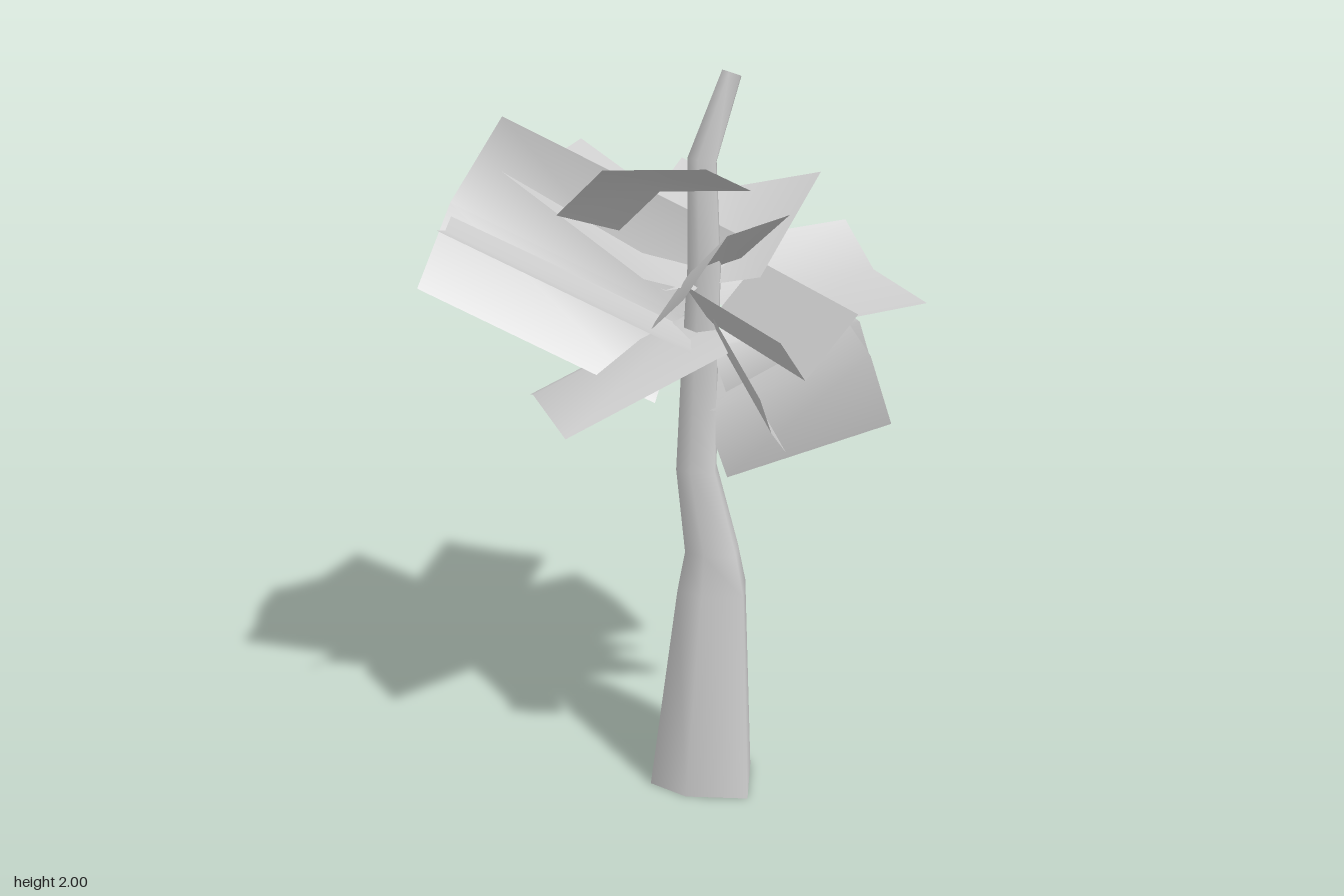
import * as THREE from 'three';
import { mergeVertices, toCreasedNormals } from 'three/addons/utils/BufferGeometryUtils.js';

const material = new THREE.MeshStandardMaterial({ color: 0xcccccc, side: THREE.DoubleSide });

// Irregular six-cornered trunk section (x, z) for a radius of 1
const SECTION = [[-1, 0], [-0.55, 0.64], [0.48, 1.09], [1, 0], [0.78, -1.1], [-0.48, -0.78]];

// Trunk rings from the ground up: height, centre x, centre z, radius, tilt
const RINGS = [
  [0, 0.07, 0.065, 0.156, 0],
  [0.6, 0.097, 0.065, 0.102, 0],
  [0.71, 0.098, 0.06, 0.079, 0],
  [0.95, 0.057, 0.045, 0.059, 0],
  [1.2, 0.064, 0.043, 0.053, 0],
  [1.5, 0.075, 0.045, 0.047, 0],
  [1.78, 0.067, 0.045, 0.04, -0.15],
  [1.992, 0.145, 0.046, 0.026, -0.35],
];

// Open six-sided tube whose rows and columns follow the rings and the section
function trunkGeometry() {
  const rows = RINGS.length - 1;
  let geometry = new THREE.CylinderGeometry(1, 1, 1, 6, rows, true);
  const p = geometry.attributes.position;
  for (let i = 0; i < p.count; i++) {
    const [y, cx, cz, r, tilt] = RINGS[Math.floor(i / 7)];
    const [sx, sz] = SECTION[i % 7 % 6];
    p.setXYZ(i, cx + sx * r, y + sx * r * tilt, cz + sz * r);
  }
  geometry.deleteAttribute('uv');
  geometry.deleteAttribute('normal');
  // Rows run upwards here, so turn the faces outwards again
  geometry.index.array.reverse();
  geometry = mergeVertices(geometry, 1e-4);
  geometry.computeVertexNormals();
  return geometry;
}

// Folded leaf: three points along the outer edge, swept to the trunk by one vector
function leafGeometry(edge, sweep) {
  const outer = edge.map((v) => new THREE.Vector3(...v));
  const inner = outer.map((v) => v.clone().add(new THREE.Vector3(...sweep)));
  const geometry = new THREE.BufferGeometry().setFromPoints([...outer, ...inner]);
  const index = [];
  for (let i = 0; i < 2; i++) index.push(i, i + 1, i + 4, i, i + 4, i + 3);
  // Keep the upper side as the front
  const n = new THREE.Vector3().crossVectors(
    outer[2].clone().sub(outer[0]), inner[0].clone().sub(outer[0]));
  geometry.setIndex(n.y < 0 ? index.reverse() : index);
  return toCreasedNormals(geometry, 1.0);
}

const LEAVES = {
  topFrontLeaf: [[[-0.415, 1.73, 0.38], [-0.315, 1.83, 0.413], [-0.117, 1.84, 0.54]], [0.28, -0.13, -0.4]],
  backLeftLeaf: [[[0.238, 1.69, -0.555], [0.37, 1.61, -0.47], [0.564, 1.67, -0.29]], [-0.378, -0.18, 0.446]],
  backRightLeaf: [[[-0.443, 1.78, -0.253], [-0.27, 1.71, -0.36], [-0.09, 1.77, -0.49]], [0.3, -0.26, 0.445]],
  rightFlatLeaf: [[[-0.615, 1.64, 0.014], [-0.57, 1.615, -0.1], [-0.525, 1.63, -0.225]], [0.57, -0.3, 0.25]],
  rightUprightLeaf: [[[-0.39, 1.88, -0.19], [-0.526, 1.66, -0.233], [-0.648, 1.47, -0.108]], [0.56, -0.3, 0.225]],
  rightBackLeaf: [[[-0.484, 1.5, -0.44], [-0.487, 1.54, -0.31], [-0.49, 1.585, -0.19]], [0.5, -0.26, 0.22]],
  rightLowLeaf: [[[-0.355, 1.13, 0.2], [-0.39, 1.2, 0.03], [-0.355, 1.15, -0.13]], [0.46, 0.18, -0.02]],
  backLowLeaf: [[[0.23, 1.18, -0.41], [0.08, 1.19, -0.415], [-0.094, 1.12, -0.38]], [-0.03, 0.18, 0.42]],
  leftLeaf: [[[0.595, 1.55, -0.185], [0.625, 1.43, -0.06], [0.645, 1.395, 0.21]], [-0.5, -0.03, 0.045]],
  leftLowLeaf: [[[0.42, 1.38, 0.15], [0.445, 1.29, 0.285], [0.51, 1.1, 0.295]], [-0.385, -0.17, -0.195]],
  leftInnerLeaf: [[[0.42, 1.39, 0.16], [0.453, 1.36, 0.2], [0.52, 1.18, 0.19]], [-0.38, -0.06, -0.1]],
  frontHighLeaf: [[[-0.155, 1.54, 0.5], [-0.03, 1.67, 0.455], [0.123, 1.71, 0.462]], [0.07, -0.2, -0.45]],
  frontMiddleLeaf: [[[0.304, 1.46, 0.477], [0.158, 1.315, 0.5], [0.068, 1.43, 0.55]], [-0.08, 0.05, -0.42]],
  frontLowLeaf: [[[0.03, 1.29, 0.525], [0.075, 1.19, 0.495], [0.133, 1.12, 0.457]], [0.04, 0.12, -0.46]],
};

export function createModel() {
  const model = new THREE.Group();
  model.name = 'tree';
  const trunk = new THREE.Mesh(trunkGeometry(), material);
  trunk.name = 'trunk';
  model.add(trunk);

  // Crown of folded leaves
  const crown = new THREE.Group();
  crown.name = 'crown';
  for (const [name, [edge, sweep]] of Object.entries(LEAVES)) {
    const leaf = new THREE.Mesh(leafGeometry(edge, sweep), material);
    leaf.name = name;
    crown.add(leaf);
  }
  model.add(crown);
  return model;
}
